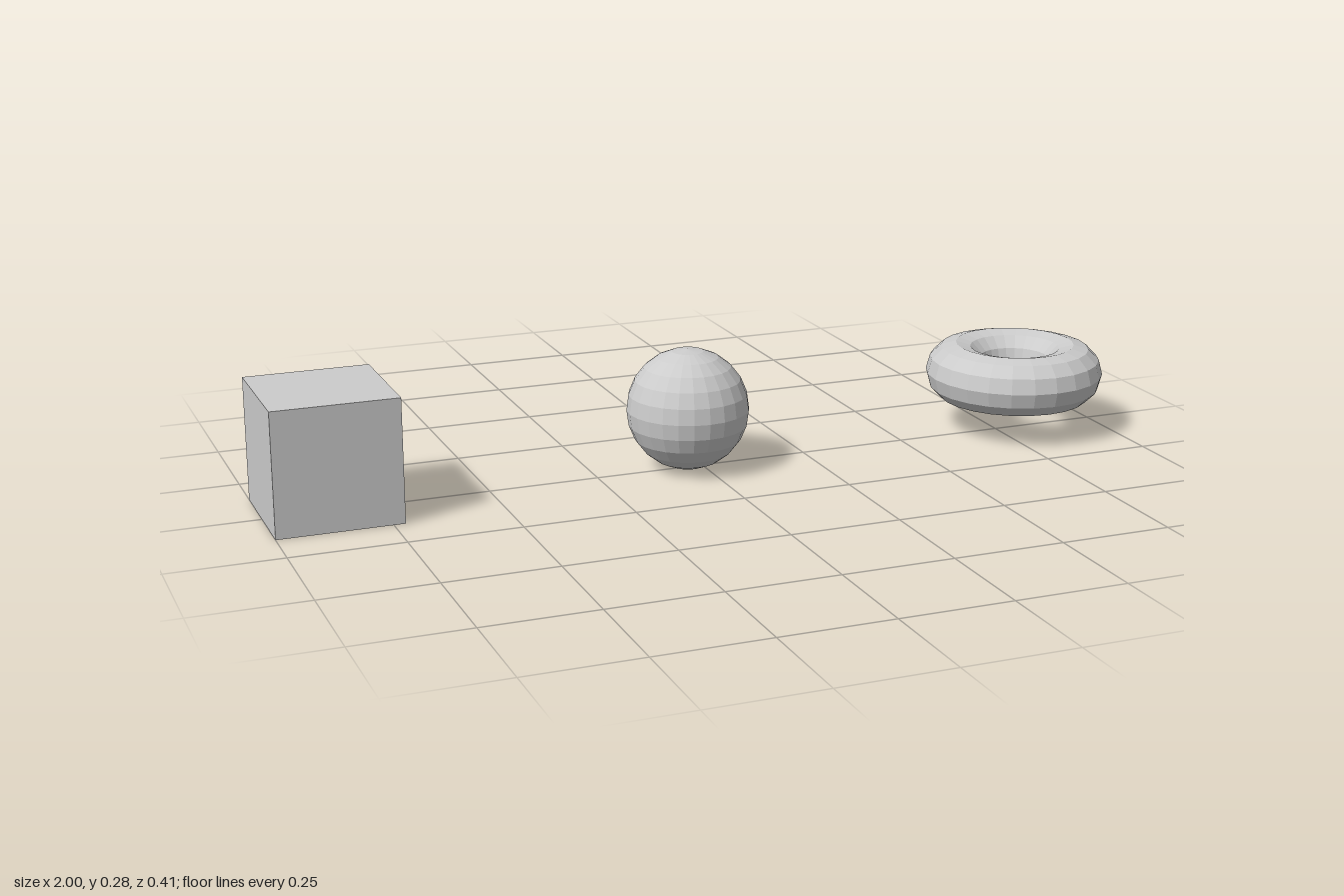
import * as THREE from 'three';

// One design unit; the row of shapes spans 14.5 units
const U = 2 / 14.5;

export function createModel() {
  const model = new THREE.Group();
  model.name = 'primitiveRow';
  const material = new THREE.MeshStandardMaterial({ color: 0xcccccc, flatShading: true });

  // Ring lies flat, with its hole facing up
  const ring = new THREE.TorusGeometry(U, U / 2, 12, 24).rotateX(-Math.PI / 2);

  const parts = [
    ['cube', new THREE.BoxGeometry(2 * U, 2 * U, 2 * U)],
    ['sphere', new THREE.SphereGeometry(U, 24, 12)],
    ['ring', ring],
  ];

  // Centres sit 6 units apart, all at the same height
  parts.forEach(([name, geometry], i) => {
    const mesh = new THREE.Mesh(geometry, material);
    mesh.name = name;
    mesh.position.set(-1 + U + i * 6 * U, U, 0);
    model.add(mesh);
  });

  return model;
}
